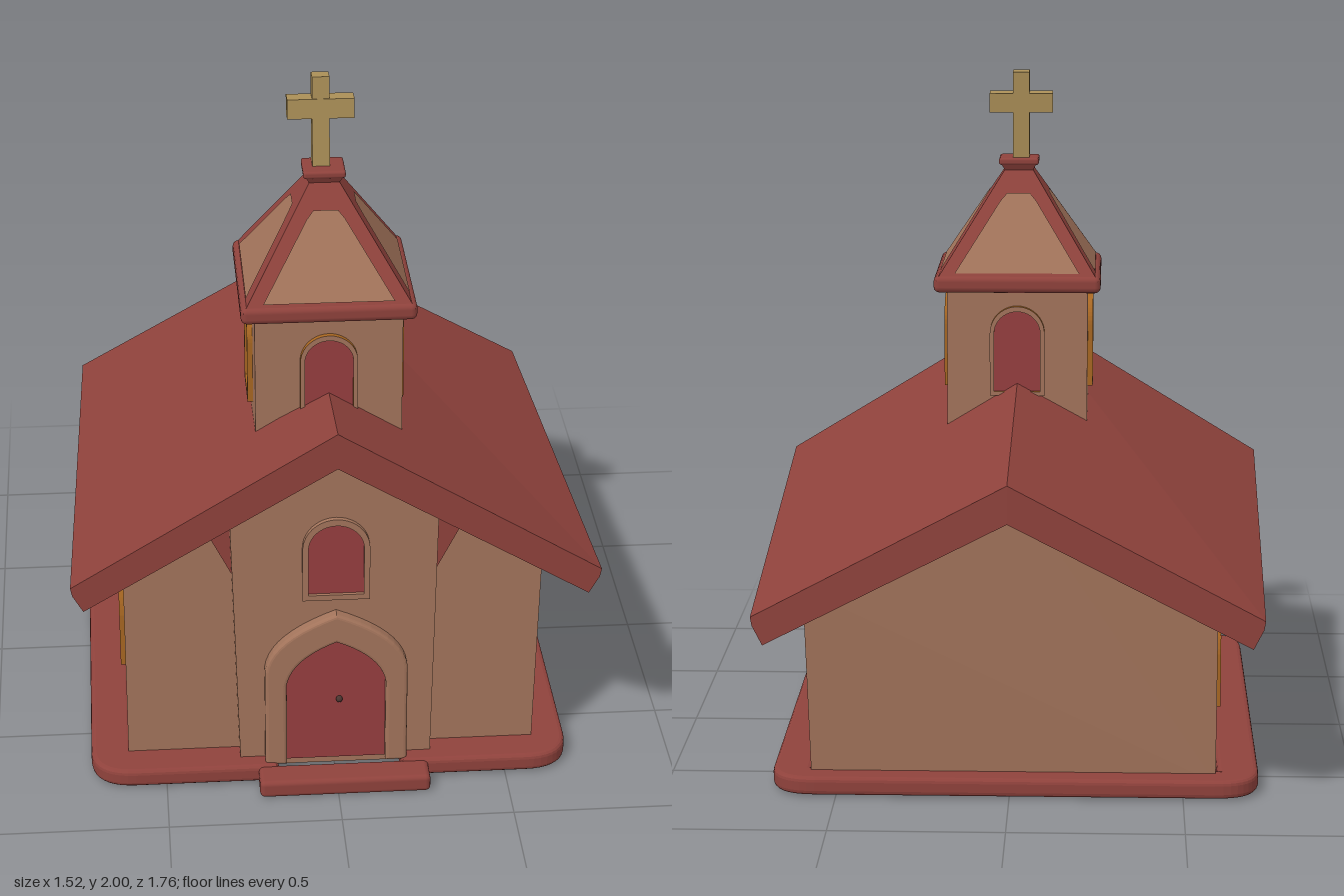
import * as THREE from 'three';
import { RoundedBoxGeometry } from 'three/addons/geometries/RoundedBoxGeometry.js';

const paint = (name, color) => Object.assign(new THREE.MeshStandardMaterial({ color }), { name });

export function createModel() {
  const red = paint('roofRed', 0x8f423c);
  const paneRed = paint('paneRed', 0x963e3f);
  const tan = paint('wallTan', 0xa3745b);
  const orange = paint('frameOrange', 0xa86722);
  const gold = paint('crossGold', 0xac9058);
  const dark = paint('knobDark', 0x4a3530);

  const model = new THREE.Group();
  model.name = 'chapel';

  const add = (name, geometry, material, x = 0, y = 0, z = 0, parent = model) => {
    const mesh = new THREE.Mesh(geometry, material);
    mesh.name = name;
    mesh.position.set(x, y, z);
    parent.add(mesh);
    return mesh;
  };
  const polygon = (pts) => new THREE.Shape(pts.map(([x, y]) => new THREE.Vector2(x, y)));
  const extrude = (shape, depth, bevel = 0) => new THREE.ExtrudeGeometry(shape, {
    depth, curveSegments: 10, bevelEnabled: bevel > 0,
    bevelSize: bevel, bevelThickness: bevel, bevelOffset: -bevel, bevelSegments: 3,
  });

  // Lean of the whole roof: it sinks and narrows toward the back
  const sag = (x, z) => ((0.8 - z) / 1.66) * (0.12 + 0.07 * (1 - Math.abs(x) / 0.76));
  const bend = (geometry, rule) => {
    const p = geometry.attributes.position;
    for (let i = 0; i < p.count; i++) p.setXYZ(i, ...rule(p.getX(i), p.getY(i), p.getZ(i)));
    geometry.computeVertexNormals();
    return geometry;
  };

  // Main roof
  const chevron = polygon([
    [-0.76, 0.69], [-0.755, 0.665], [-0.725, 0.612], [0, 1.045],
    [0.725, 0.612], [0.755, 0.665], [0.76, 0.69], [0, 1.155],
  ]);
  add('mainRoof', bend(extrude(chevron, 1), (x, y, t) => {
    const back = 1 - t;
    const z = 0.8 - back * (1.645 + 0.035 * (1 - Math.abs(x) / 0.76));
    return [x * (1 - 0.05 * back), y - sag(x, z), z];
  }), red);

  // Walls follow the roof line; the back wall leans out a little
  const wallProfile = polygon([[-0.61, 0.03], [0.59, 0.03], [0.605, 0.73], [0, 1.1], [-0.61, 0.73]]);
  add('naveWalls', bend(extrude(wallProfile, 1), (x, y, t) => {
    const z = t > 0.5 ? 0.69 : -0.65 - (y > 0.3 ? 0.035 : 0);
    return [x * (t > 0.5 ? 1 : 0.975), y > 0.3 ? y - sag(x, z) : y, z];
  }), tan);
  const porch = polygon([[-0.28, 0.03], [0.28, 0.03], [0.295, 0.91], [0, 1.09], [-0.305, 0.91]]);
  add('frontBay', extrude(porch, 0.15), tan, 0, 0, 0.595);

  // Red wedges under the eaves beside the front bay
  for (const side of [1, -1]) {
    const wedge = polygon([[side * 0.28, 0.62], [side * 0.385, 0.83], [side * 0.28, 0.88]]);
    add('eavesWedge', extrude(wedge, 0.006), red, 0, 0, 0.688);
  }

  // Arched outline: half width, springing height, full height
  const arch = (w, spring, h, pointed, base = 0) => {
    const s = new THREE.Shape();
    s.moveTo(-w, base);
    s.lineTo(w, base);
    s.lineTo(w, spring);
    if (pointed) {
      s.quadraticCurveTo(w * 0.9, spring + (h - spring) * 0.6, 0, h);
      s.quadraticCurveTo(-w * 0.9, spring + (h - spring) * 0.6, -w, spring);
    } else s.absellipse(0, spring, w, h - spring, 0, Math.PI);
    s.closePath();
    return s;
  };

  // Window: a frame around a thin pane, facing local +z
  const addWindow = (name, { w, h, pointed, rim, face, edge }, x, y, z, turn = 0) => {
    const group = new THREE.Group();
    group.name = name;
    group.position.set(x, y, z);
    group.rotation.y = turn;
    const spring = pointed ? h * 0.52 : h - w;
    const inner = () => arch(w - rim, spring, h - rim * 1.2, pointed, rim);
    const frame = arch(w, spring, h, pointed);
    frame.holes.push(inner());
    add('windowFrame', extrude(frame, 0.03), [face, edge], 0, 0, -0.015, group);
    add('windowPane', extrude(inner(), 0.008), paneRed, 0, 0, -0.004, group);
    model.add(group);
  };

  const naveWindow = { w: 0.1, h: 0.335, pointed: true, rim: 0.017, face: orange, edge: orange };
  const rearWindow = { ...naveWindow, h: 0.31 };
  const towerWindow = { w: 0.083, h: 0.275, pointed: false, rim: 0.013, face: tan, edge: orange };
  const frontWindow = { w: 0.097, h: 0.265, pointed: false, rim: 0.017, face: tan, edge: tan };

  for (const side of [1, -1]) {
    const wall = side > 0 ? 0.598 : -0.61;
    addWindow('naveWindowFront', naveWindow, wall, 0.155, 0.265, side * Math.PI / 2);
    addWindow('naveWindowBack', rearWindow, wall - side * 0.006, 0.152, -0.207, side * Math.PI / 2);
    addWindow('towerSideWindow', towerWindow, side * 0.214, 1.03, 0.26, side * Math.PI / 2);
  }
  addWindow('towerFrontWindow', towerWindow, 0, 1.03, 0.468);
  addWindow('towerBackWindow', towerWindow, 0, 1.03, 0.032, Math.PI);
  addWindow('frontWindow', frontWindow, 0, 0.595, 0.745);

  // Door with a moulded arch, drawn as one outline up and over the opening
  const surround = new THREE.Shape();
  surround.moveTo(0.145, 0.05);
  surround.lineTo(0.208, 0.05);
  surround.lineTo(0.208, 0.37);
  surround.quadraticCurveTo(0.195, 0.48, 0, 0.555);
  surround.quadraticCurveTo(-0.195, 0.48, -0.208, 0.37);
  surround.lineTo(-0.208, 0.05);
  surround.lineTo(-0.145, 0.05);
  surround.lineTo(-0.145, 0.32);
  surround.quadraticCurveTo(-0.13, 0.41, 0, 0.462);
  surround.quadraticCurveTo(0.13, 0.41, 0.145, 0.32);
  surround.closePath();
  add('doorArch', extrude(surround, 0.025, 0.01), tan, 0, 0, 0.747);
  add('door', extrude(arch(0.155, 0.33, 0.475, true, 0.05), 0.008), paneRed, 0, 0, 0.742);
  add('doorKnob', new THREE.SphereGeometry(0.01, 10, 8), dark, 0.01, 0.255, 0.755);

  // Foundation: rounded ring, notched in front of the door, with a floor inside
  const ring = new THREE.Shape();
  const [L, R, F, B, r] = [-0.72, 0.69, -0.8, 0.725, 0.13];
  ring.moveTo(L + r, F);
  for (const [x, y] of [[-0.17, F], [-0.17, -0.71], [0.19, -0.71], [0.19, F], [R - r, F]]) ring.lineTo(x, y);
  ring.quadraticCurveTo(R, F, R, F + r);
  ring.lineTo(R, B - r);
  ring.quadraticCurveTo(R, B, R - r, B);
  ring.lineTo(L + r, B);
  ring.quadraticCurveTo(L, B, L, B - r);
  ring.lineTo(L, F + r);
  ring.quadraticCurveTo(L, F, L + r, F);
  ring.holes.push(new THREE.Path([[-0.6, -0.66], [-0.6, 0.62], [0.575, 0.62], [0.575, -0.66]]
    .map(([x, y]) => new THREE.Vector2(x, y))));
  add('foundation', extrude(ring, 0.026, 0.014), red, 0, 0.019, 0).rotation.x = -Math.PI / 2;
  add('floor', new THREE.BoxGeometry(1.15, 0.03, 1.25), red, -0.012, 0.035, 0.02);
  add('doorStep', new RoundedBoxGeometry(0.5, 0.055, 0.095, 2, 0.015), red, 0.02, 0.0275, 0.832);

  // Bell tower
  const tower = new THREE.Group();
  tower.name = 'bellTower';
  tower.position.z = 0.25;
  model.add(tower);
  add('towerWalls', new THREE.BoxGeometry(0.426, 0.46, 0.434), tan, 0, 1.13, 0, tower);
  add('spireEaves', new RoundedBoxGeometry(0.505, 0.052, 0.495, 2, 0.018), red, 0, 1.374, -0.005, tower);

  // Square frustum given by half widths
  const frustum = (top, bottom, height) => {
    const g = new THREE.CylinderGeometry(top * Math.SQRT2, bottom * Math.SQRT2, height, 4)
      .rotateY(Math.PI / 4).toNonIndexed();
    g.computeVertexNormals();
    return g;
  };
  const spire = new THREE.Group();
  spire.name = 'spire';
  spire.position.z = -0.005;
  tower.add(spire);
  add('spireRoof', frustum(0.042, 0.245, 0.315), red, 0, 1.5425, 0, spire);

  // Tan panels between the red hips
  const half = (y) => 0.042 + (0.203 * (1.7 - y)) / 0.315;
  const panel = polygon([[-0.188, 1.408], [0.188, 1.408], [0.055, 1.61], [0.035, 1.632], [-0.035, 1.632], [-0.055, 1.61]]);
  for (let i = 0; i < 4; i++) {
    const g = bend(new THREE.ShapeGeometry(panel), (x, y) => [x, y, half(y) + 0.005]);
    add('spirePanel', g, tan, 0, 0, 0, spire).rotation.y = (i * Math.PI) / 2;
  }

  // Finial block and cross, leaning slightly back
  add('finialNeck', frustum(0.055, 0.04, 0.03), red, 0, 1.705, 0, spire);
  add('finialCap', new RoundedBoxGeometry(0.122, 0.022, 0.115, 2, 0.008), red, 0, 1.724, 0, spire);
  const cross = new THREE.Group();
  cross.name = 'cross';
  cross.position.set(-0.007, 1.73, -0.012);
  cross.rotation.x = -0.07;
  spire.add(cross);
  add('crossPost', new THREE.BoxGeometry(0.05, 0.27, 0.05), gold, 0, 0.134, 0, cross);
  add('crossArm', new THREE.BoxGeometry(0.192, 0.058, 0.056), gold, 0, 0.175, 0, cross);

  return model;
}
